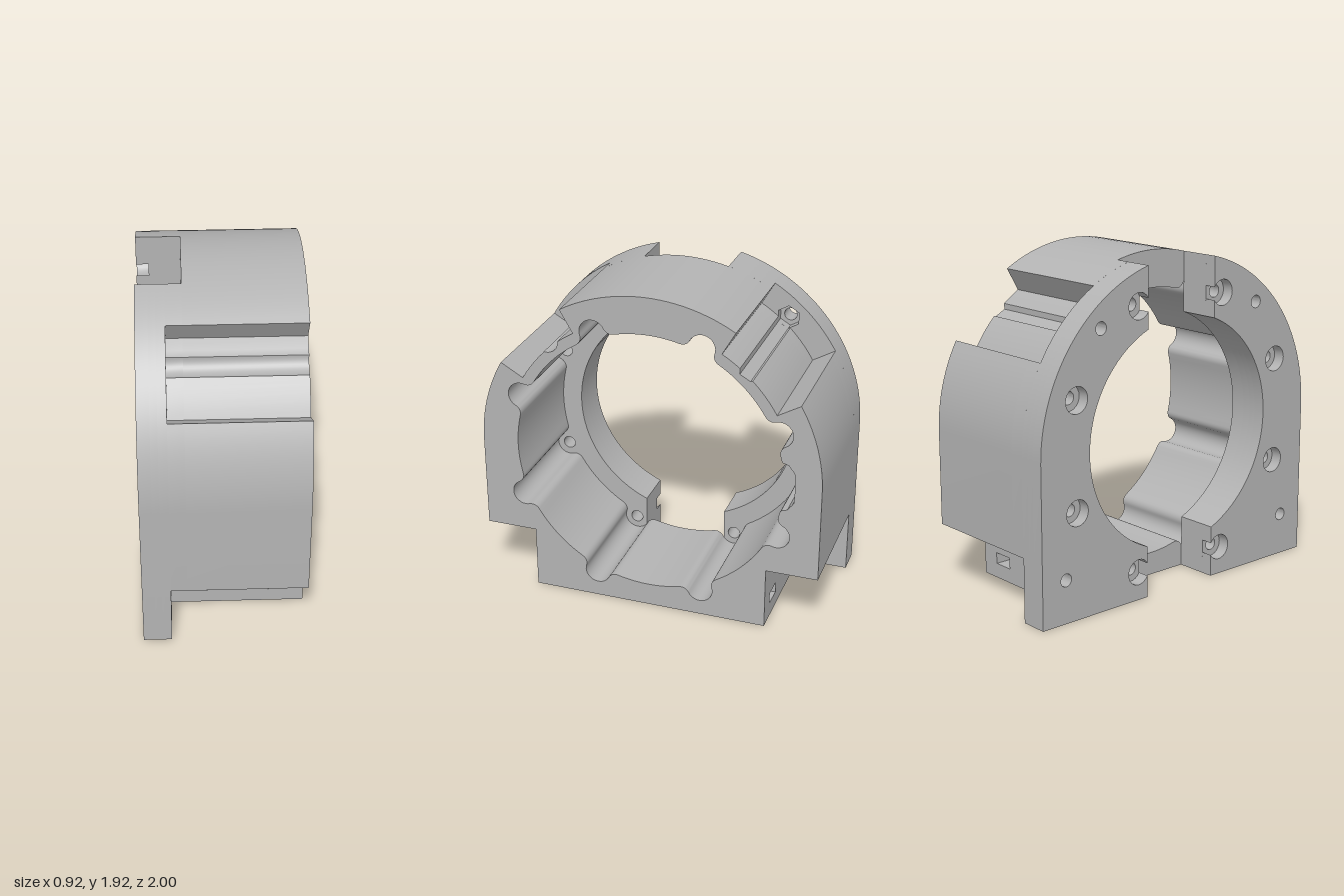
import * as THREE from 'three';
import { toCreasedNormals } from 'three/addons/utils/BufferGeometryUtils.js';

// Profiles are drawn in (u, y) with u = -z, then extruded along x.
const CY = 0.92;          // height of the bore axis
const BORE = 0.785;
const BOLT_R = 0.817;     // bolt circle radius
const TROUGH = 0.075;
const SMALL = 0.037;
const rad = THREE.MathUtils.degToRad;

const arc = (cx, cy, r, a0, a1, n) => Array.from({ length: n + 1 }, (_, i) => {
  const a = rad(a0 + (a1 - a0) * i / n);
  return [cx + r * Math.cos(a), cy + r * Math.sin(a)];
});
const polar = (deg, r) => [r * Math.cos(rad(deg)), CY + r * Math.sin(rad(deg))];
const mirror = (pts, s) => pts.map(([u, y]) => [u * s, y]);
const vecs = pts => pts.map(([u, y]) => new THREE.Vector2(u, y));

function makeShape(outline, holes = []) {
  const shape = new THREE.Shape(vecs(outline));
  for (const h of holes) shape.holes.push(new THREE.Path(vecs(h)));
  return shape;
}

// circular or hexagonal hole
const round = (u, y, r) => arc(u, y, r, 0, 345, 23);
const hexagon = (u, y, r, turn) => arc(u, y, r, turn, turn + 300, 5);

// outer contour of one side, from the base up to the angle end
function outerSide(recessed, hex, end) {
  if (!recessed) return [[1, 0], ...arc(0, CY, 1, 0, end, 32)];
  const trough = hex
    ? [[0.597, CY + 0.605], [0.585, CY + 0.601], [0.525, CY + 0.635], [0.525, CY + 0.668]]
    : arc(0.585, CY + 0.67, 0.068, -77, -185, 10);
  return [
    [0.5, 0], [0.5, 0.2], [0.7, 0.2], [0.7, 0.37], [1, 0.37],
    ...arc(0, CY, 1, 0, 30, 12),
    ...arc(0, CY, 0.85, 30, 45, 5),
    ...trough,
    ...arc(0, CY, 0.85, 52.8, 60, 3),
    ...arc(0, CY, 1, 60, end, 12),
  ];
}

// bore with eight filleted bolt troughs and one shallow side pocket
function boreContour() {
  const f = 0.05, dF = BORE + f, dC = TROUGH + f;
  const delta = THREE.MathUtils.radToDeg(
    Math.acos((dF * dF + BOLT_R * BOLT_R - dC * dC) / (2 * dF * BOLT_R)));
  // local direction from trough centre to fillet centre
  const lx = dF * Math.cos(rad(delta)) - BOLT_R, ly = dF * Math.sin(rad(delta));
  const t = THREE.MathUtils.radToDeg(Math.atan2(ly, lx));
  const half = [[13.9, 0.785], [12, 0.785], [10.8, 0.79], [10.2, 0.805], [9.6, 0.822],
    [8.2, 0.832], [7.2, 0.842], [6, 0.85], [3, 0.85]];
  const pts = [];
  for (let k = 0; k < 8; k++) {
    const c = 22.5 + 45 * k;
    if (k === 0) {
      for (const [a, r] of half) pts.push(polar(-a, r));
      for (const [a, r] of [...half].reverse()) pts.push(polar(a, r));
    } else {
      pts.push(...arc(0, CY, BORE, c - 45 + delta, c - delta, 10));
    }
    const [cu, cy] = polar(c, BOLT_R);
    const [au, ay] = polar(c - delta, dF), [bu, by] = polar(c + delta, dF);
    pts.push(...arc(au, ay, f, c - delta + 180, c + 180 - t, 6).slice(1));
    pts.push(...arc(cu, cy, TROUGH, c - t, c + t, 16).slice(1));
    pts.push(...arc(bu, by, f, c + 180 + t, c + delta + 180, 6).slice(1, -1));
  }
  return pts;
}

// one half of the split flange; openings break the counterbores into the slot wall
function flangeOutline(recessed, hex, openings) {
  const end = THREE.MathUtils.radToDeg(Math.acos(0.25));
  const a = THREE.MathUtils.radToDeg(Math.acos(0.25 / 0.667));
  const bite = v => openings ? arc(0.315, CY + v, TROUGH, 150, -150, 20) : [];
  return [[0.25, 0], ...outerSide(recessed, hex, end),
    ...bite(0.755), ...arc(0, CY, 0.667, a, -a, 48), ...bite(-0.755)];
}

export function createModel() {
  const model = new THREE.Group();
  const grey = new THREE.MeshStandardMaterial({ color: 0xb3b3b3 });
  grey.name = 'plain grey';

  const add = (name, shape, from, to, upright = false) => {
    let g = new THREE.ExtrudeGeometry(shape, { depth: to - from, bevelEnabled: false });
    g.translate(0, 0, from);
    if (upright) g.rotateX(-Math.PI / 2); else g.rotateY(Math.PI / 2);
    g = toCreasedNormals(g, rad(28));
    const mesh = new THREE.Mesh(g, grey);
    mesh.name = name;
    model.add(mesh);
  };

  // main ring
  const right = outerSide(true, true, 90);
  const left = mirror(outerSide(true, false, 90), -1).reverse();
  add('ringBody', makeShape([...right, ...left.slice(1)], [boreContour()]), -0.21, 0.46);

  for (const s of [1, -1]) {
    const hex = s > 0;
    const side = hex ? 'right' : 'left';
    const outline = (rec, open) => mirror(flangeOutline(rec, hex, open), s);
    const sideBolts = r => [0.31, -0.31].map(v => round(s * 0.755, CY + v, r));
    const slotBolts = [0.755, -0.755].map(v => round(s * 0.315, CY + v, SMALL));
    const clamps = [[0.585, CY + 0.67, 30], [0.838, 0.25, 0]];
    const clampHoles = clamps.map(([u, y]) => round(s * u, y, SMALL));
    const clampSeats = clamps.map(([u, y, turn]) =>
      hex ? hexagon(u, y, 0.069, turn) : round(-u, y, 0.068));

    // flange layers, from the outer face inwards
    add(side + 'FlangeCounterbores',
      makeShape(outline(false, true), [...sideBolts(TROUGH), ...clampHoles]), -0.46, -0.39);
    add(side + 'FlangeCore',
      makeShape(outline(false, false), [...sideBolts(SMALL), ...slotBolts, ...clampHoles]), -0.39, -0.35);
    add(side + 'FlangeSeats',
      makeShape(outline(false, false), [...sideBolts(SMALL), ...slotBolts, ...clampSeats]), -0.35, -0.3);
    add(side + 'FlangeInner',
      makeShape(outline(true, false), [...sideBolts(SMALL), ...slotBolts]), -0.3, -0.21);

    // foot with nut slots and vertical bolt holes
    const xs = [0.288, -0.128];
    const plate = [[-0.3, 0.5], [0.46, 0.5], [0.46, 0.7], [-0.3, 0.7]].map(([x, u]) => [x, s * u]);
    const holes = xs.map(x => round(x, s * 0.59, SMALL));
    const slots = xs.flatMap(x => [[x + 0.062, 0.7], [x + 0.062, 0.554], [x, 0.518],
      [x - 0.062, 0.554], [x - 0.062, 0.7]]).map(([x, u]) => [x, s * u]);
    const slotted = [...plate.slice(0, 3), ...slots, plate[3]];
    add(side + 'FootBottom', makeShape(plate, holes), 0, 0.086, true);
    add(side + 'FootNutSlots', makeShape(slotted), 0.086, 0.152, true);
    add(side + 'FootTop', makeShape(plate, holes), 0.152, 0.2, true);
  }
  return model;
}
